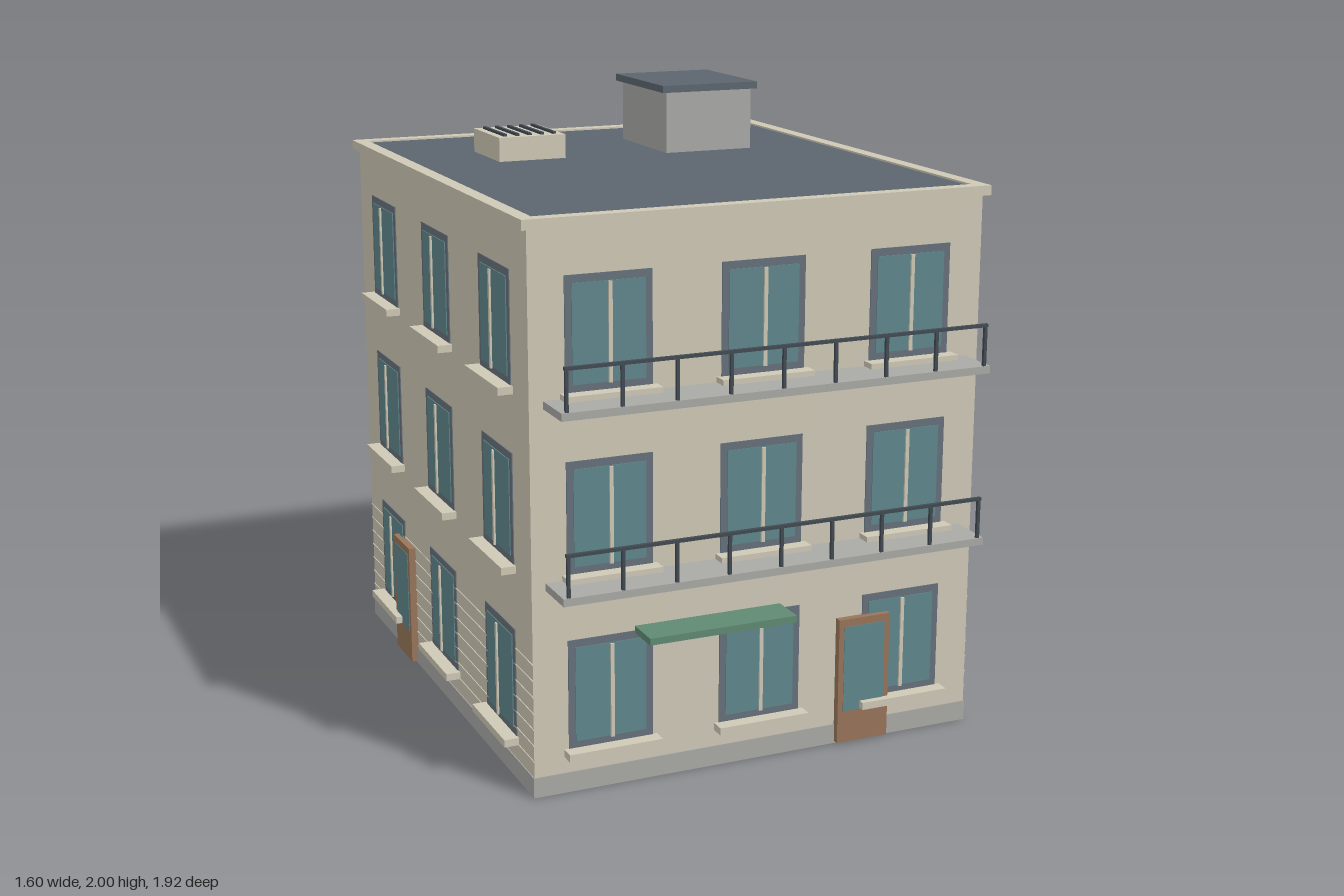
import * as THREE from 'three';

const mat = (color) => new THREE.MeshStandardMaterial({ color });
const M = {
  wall: mat(0xcfc8b6), stone: mat(0xa9aaa6), roof: mat(0x5c666f), frame: mat(0x66717a),
  glass: mat(0x5f868c), wood: mat(0x98755a), metal: mat(0x414a52), awning: mat(0x5f8a72),
};
const W = 1.5, D = 1.72, CZ = -0.05; // wall footprint and its centre in z
const FLOOR = 0.557;

// Box given by its minimum and maximum on each axis
function box(parent, name, material, [x0, x1], [y0, y1], [z0, z1]) {
  const mesh = new THREE.Mesh(new THREE.BoxGeometry(x1 - x0, y1 - y0, z1 - z0), material);
  mesh.position.set((x0 + x1) / 2, (y0 + y1) / 2, (z0 + z1) / 2);
  mesh.name = name;
  parent.add(mesh);
  return mesh;
}

// Window in wall space: x along the wall, z outwards
function addWindow(parent, u, y) {
  const g = new THREE.Group();
  g.name = 'window';
  g.position.set(u, y, 0);
  box(g, 'windowFrame', M.frame, [-0.138, 0.138], [0, 0.35], [-0.01, 0.003]);
  box(g, 'windowGlass', M.glass, [-0.116, 0.116], [0.024, 0.326], [-0.01, 0.006]);
  box(g, 'mullion', M.wall, [-0.006, 0.006], [0.024, 0.326], [0.012, 0.018]);
  box(g, 'windowSill', M.wall, [-0.153, 0.153], [-0.022, 0.002], [-0.01, 0.048]);
  parent.add(g);
}

function addDoor(parent, u) {
  const g = new THREE.Group();
  g.name = 'door';
  g.position.x = u;
  box(g, 'doorLeaf', M.wood, [-0.09, 0.09], [0.008, 0.425], [-0.01, 0.024]);
  box(g, 'doorGlass', M.glass, [-0.072, 0.072], [0.115, 0.4], [0, 0.026]);
  parent.add(g);
}

// One wall's windows and door, turned to face outwards
function addFacade(parent, name, width, angle, x, z, doorU, banded) {
  const g = new THREE.Group();
  g.name = name;
  g.position.set(x, 0, z);
  g.rotation.y = angle;
  for (let floor = 0; floor < 3; floor++)
    for (let i = -1; i <= 1; i++) addWindow(g, i * width / 3, 0.14 + floor * FLOOR);
  addDoor(g, doorU);
  if (banded)
    for (let i = 0; i < 7; i++) {
      const y = 0.115 + i * 0.052;
      box(g, 'wallBand', M.wall, [-width / 2, width / 2], [y, y + 0.005], [-0.005, 0.003]);
    }
  parent.add(g);
}

function addBalcony(parent, y) {
  const g = new THREE.Group();
  g.name = 'balcony';
  g.position.y = y;
  box(g, 'balconySlab', M.stone, [-0.706, 0.706], [0, 0.024], [0.8, 0.96]);
  box(g, 'handrail', M.metal, [-0.695, 0.695], [0.147, 0.157], [0.947, 0.959]);
  for (let i = -4; i <= 4; i++) {
    const x = i * 0.172;
    box(g, 'railPost', M.metal, [x - 0.005, x + 0.005], [0.02, 0.15], [0.948, 0.958]);
  }
  parent.add(g);
}

export function createModel() {
  const model = new THREE.Group();
  model.name = 'apartmentBuilding';
  const zB = CZ - D / 2, zF = CZ + D / 2;

  // Walls and plinth
  box(model, 'walls', M.wall, [-W / 2, W / 2], [0.03, 1.75], [zB, zF]);
  box(model, 'plinth', M.stone, [-0.753, 0.753], [0, 0.065], [zB - 0.003, zF + 0.003]);

  // Facades
  addFacade(model, 'frontFacade', W, 0, 0, zF, 0.36, false);
  addFacade(model, 'backFacade', W, Math.PI, 0, zB, -0.36, false);
  addFacade(model, 'leftFacade', D, Math.PI / 2, W / 2, CZ, 0.41, true);
  addFacade(model, 'rightFacade', D, -Math.PI / 2, -W / 2, CZ, -0.41, true);

  // Flat roof inside a low rim
  const rimY = [1.745, 1.776], rx = 0.77, rf = zF + 0.017, rb = zB - 0.02, t = 0.046;
  box(model, 'roof', M.roof, [-rx + t, rx - t], [1.745, 1.77], [rb + t, rf - t]);
  box(model, 'roofRimFront', M.wall, [-rx, rx], rimY, [rf - t, rf]);
  box(model, 'roofRimBack', M.wall, [-rx, rx], rimY, [rb, rb + t]);
  for (const [a, b] of [[-rx, -rx + t], [rx - t, rx]])
    box(model, 'roofRimSide', M.wall, [a, b], rimY, [rb + t, rf - t]);

  // Stair housing with its cap
  box(model, 'stairHousing', M.stone, [0.14, 0.457], [1.765, 1.978], [-0.622, -0.235]);
  box(model, 'stairHousingCap', M.roof, [0.122, 0.475], [1.976, 2], [-0.64, -0.222]);

  // Roof vent with slats
  box(model, 'roofVent', M.wall, [-0.451, -0.216], [1.765, 1.85], [-0.528, -0.266]);
  for (let i = -2; i <= 2; i++) {
    const x = -0.3335 + i * 0.0435;
    box(model, 'ventSlat', M.metal, [x - 0.006, x + 0.006], [1.845, 1.858], [-0.505, -0.29]);
  }

  // Balconies and awning
  addBalcony(model, 0.658);
  addBalcony(model, 0.658 + FLOOR);
  box(model, 'awning', M.awning, [-0.42, 0.07], [0.483, 0.505], [0.8, 0.928]);

  // Drainpipe on the left wall
  const pipe = new THREE.Mesh(new THREE.CylinderGeometry(0.009, 0.009, 1.33, 8), M.metal);
  pipe.name = 'drainpipe';
  pipe.position.set(0.759, 0.725, -0.48);
  model.add(pipe);

  return model;
}
